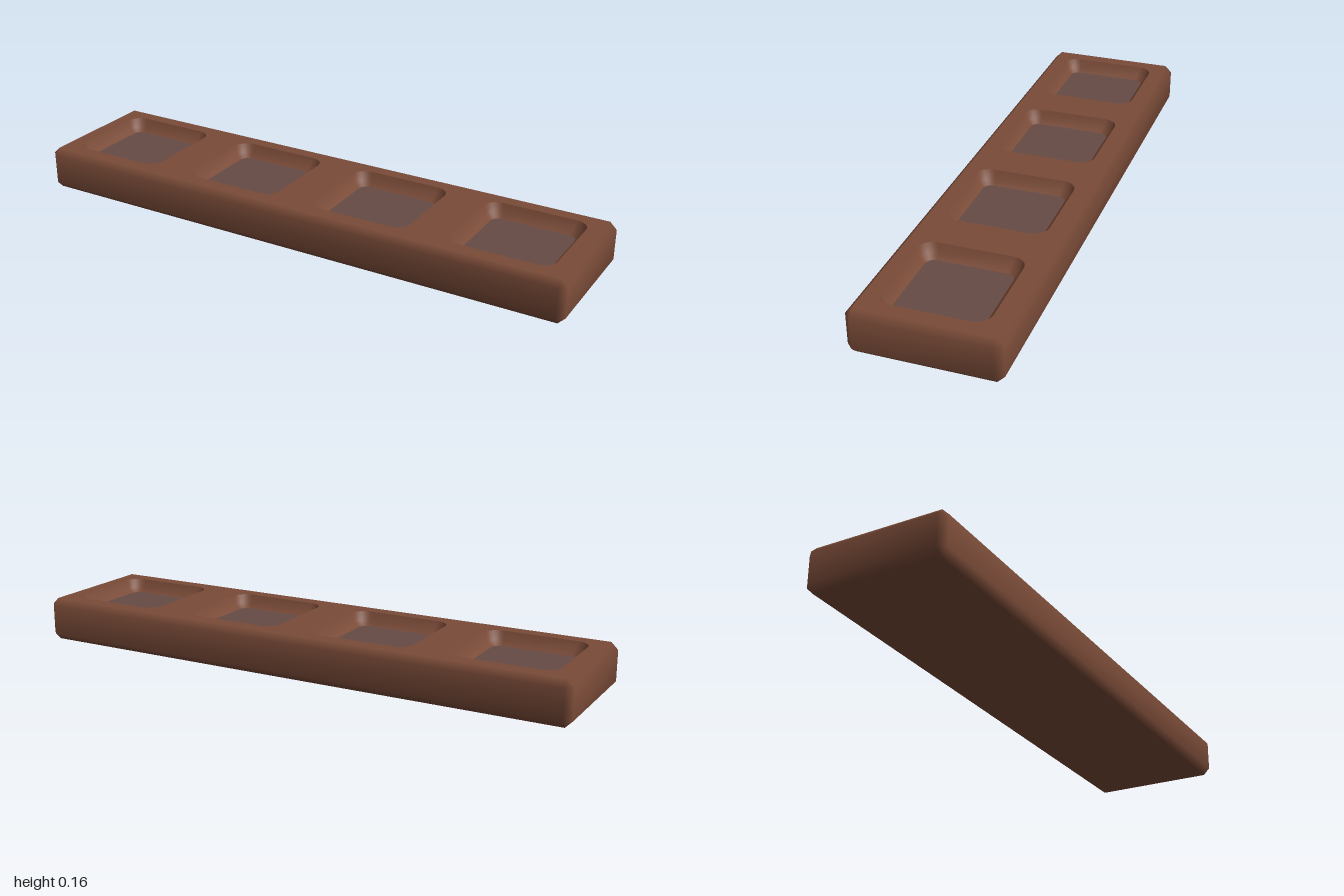
import * as THREE from 'three';
import { mergeGeometries } from 'three/addons/utils/BufferGeometryUtils.js';

const HX = 1, HZ = 0.245, H = 0.155, CH = 0.024;
const WELLS = [-0.75, -0.25, 0.25, 0.75];

// Rounded rectangle outline as [x, z] pairs
function outline(hx, hz, r, seg, cx = 0) {
  const pts = [];
  for (let c = 0; c < 4; c++) {
    const sx = c === 0 || c === 3 ? 1 : -1, sz = c < 2 ? 1 : -1;
    for (let i = 0; i <= seg; i++) {
      const t = (c + i / seg) * Math.PI / 2;
      pts.push([cx + sx * (hx - r) + r * Math.cos(t), sz * (hz - r) + r * Math.sin(t)]);
    }
  }
  return pts;
}

// Skin stacked outlines: rising rings face outward, falling rings face inward
function loft(rings, startY, endY) {
  const n = rings[0].pts.length, pos = [], index = [];
  for (const { pts, y } of rings) for (const [x, z] of pts) pos.push(x, y, z);
  for (let k = 0; k < rings.length - 1; k++) {
    for (let i = 0; i < n; i++) {
      const a = k * n + i, b = k * n + (i + 1) % n;
      index.push(a, a + n, b, b, a + n, b + n);
    }
  }
  const g = new THREE.BufferGeometry();
  g.setAttribute('position', new THREE.Float32BufferAttribute(pos, 3));
  g.setIndex(index);
  g.computeVertexNormals();
  // Blend the end rings smoothly into flat caps where asked
  const last = (rings.length - 1) * n;
  for (let i = 0; i < n; i++) {
    if (startY) g.attributes.normal.setXYZ(i, 0, startY, 0);
    if (endY) g.attributes.normal.setXYZ(last + i, 0, endY, 0);
  }
  return g;
}

// Flat horizontal face, with optional holes
function cap(pts, y, up = true, holes = []) {
  const toV = p => p.map(([x, z]) => new THREE.Vector2(x, z));
  const shape = new THREE.Shape(toV(pts));
  shape.holes = holes.map(h => new THREE.Path(toV(h)));
  const g = new THREE.ShapeGeometry(shape);
  g.rotateX(up ? -Math.PI / 2 : Math.PI / 2).translate(0, y, 0);
  g.deleteAttribute('uv');
  return g;
}

export function createModel() {
  const brown = new THREE.MeshStandardMaterial({ color: 0x7a4b38 });
  brown.name = 'brown';
  const greyBrown = new THREE.MeshStandardMaterial({ color: 0x664b45 });
  greyBrown.name = 'greyBrown';

  const model = new THREE.Group();
  model.name = 'tray';
  const add = (name, geometry, material) => {
    const mesh = new THREE.Mesh(geometry, material);
    mesh.name = name;
    model.add(mesh);
  };

  // Chamfered block with four openings in its top
  const full = outline(HX, HZ, CH, 1);
  const inset = outline(HX - CH, HZ - CH, 0, 1);
  const capEdge = inset.filter((p, i) => i % 2 === 0);
  const rim = cx => outline(0.178, 0.176, 0.05, 6, cx);
  add('body', mergeGeometries([
    loft([
      { pts: inset, y: 0 }, { pts: full, y: CH },
      { pts: full, y: H - CH }, { pts: inset, y: H },
    ], -1, 1),
    cap(capEdge, 0, false),
    cap(capEdge, H, true, WELLS.map(rim)),
  ]), brown);

  // Sloping well walls and their darker floors
  WELLS.forEach((cx, i) => {
    const floor = outline(0.147, 0.146, 0.03, 6, cx);
    add('wellWall' + (i + 1), loft([
      { pts: rim(cx), y: H },
      { pts: outline(0.166, 0.164, 0.044, 6, cx), y: 0.125 },
      { pts: floor, y: 0.11 },
    ]), brown);
    add('wellFloor' + (i + 1), cap(floor, 0.11), greyBrown);
  });

  return model;
}
